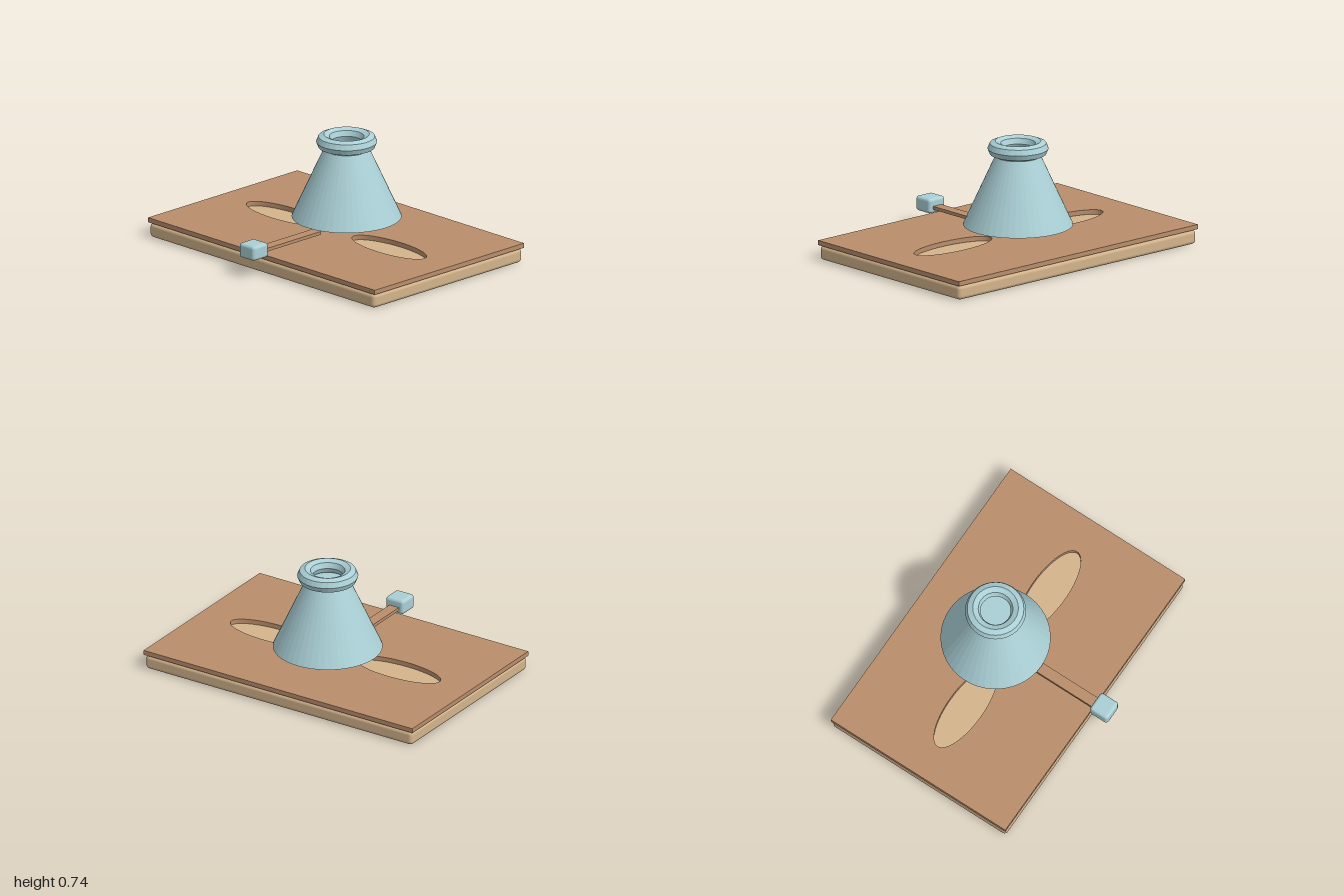
import * as THREE from 'three';
import { RoundedBoxGeometry } from 'three/addons/geometries/RoundedBoxGeometry.js';

const paleBlue = new THREE.MeshStandardMaterial({ name: 'paleBlue', color: 0xaad0d6 });
const tan = new THREE.MeshStandardMaterial({ name: 'tan', color: 0xd4b48c });
const brown = new THREE.MeshStandardMaterial({ name: 'brown', color: 0xb98e6c });

function part(group, name, geometry, material, x, y, z) {
  const mesh = new THREE.Mesh(geometry, material);
  mesh.name = name;
  mesh.position.set(x, y, z);
  group.add(mesh);
  return mesh;
}

// Flat facets by splitting the shared vertices
function faceted(geometry) {
  const flat = geometry.toNonIndexed();
  flat.computeVertexNormals();
  return flat;
}

// Top plate outline with two oval cut-outs
function plateGeometry() {
  const shape = new THREE.Shape();
  shape.moveTo(-1, -0.586);
  shape.lineTo(1, -0.586);
  shape.lineTo(1, 0.72);
  shape.lineTo(-1, 0.72);
  shape.closePath();
  for (const side of [-1, 1]) {
    const hole = new THREE.Path();
    hole.absellipse(side * 0.465, 0.072, 0.31, 0.112, 0, Math.PI * 2, true);
    shape.holes.push(hole);
  }
  const geometry = new THREE.ExtrudeGeometry(shape, { depth: 0.03, bevelEnabled: false, curveSegments: 32 });
  return geometry.rotateX(-Math.PI / 2);
}

export function createModel() {
  const model = new THREE.Group();
  model.name = 'model';

  // Base slab and the cut-out plate above it
  part(model, 'base', new RoundedBoxGeometry(1.985, 0.092, 1.3, 4, 0.025), tan, 0, 0.046, -0.066);
  part(model, 'topPlate', plateGeometry(), brown, 0, 0.095, 0);

  // Funnel body and its rolled rim
  const funnel = new THREE.Group();
  funnel.name = 'funnel';
  funnel.position.z = -0.16;
  model.add(funnel);
  part(funnel, 'cone', faceted(new THREE.CylinderGeometry(0.142, 0.342, 0.439, 48)), paleBlue, 0, 0.4185, 0);
  const rim = new THREE.TorusGeometry(0.142, 0.048, 8, 32).rotateX(Math.PI / 2);
  part(funnel, 'rim', faceted(rim), paleBlue, 0, 0.687, 0);

  // Lever with its knob at the front
  const lever = new THREE.Group();
  lever.name = 'lever';
  model.add(lever);
  part(lever, 'rod', new THREE.BoxGeometry(0.07, 0.021, 0.49), brown, 0, 0.155, 0.345);
  part(lever, 'knob', new RoundedBoxGeometry(0.134, 0.095, 0.132, 4, 0.02), paleBlue, 0, 0.167, 0.653);

  return model;
}
